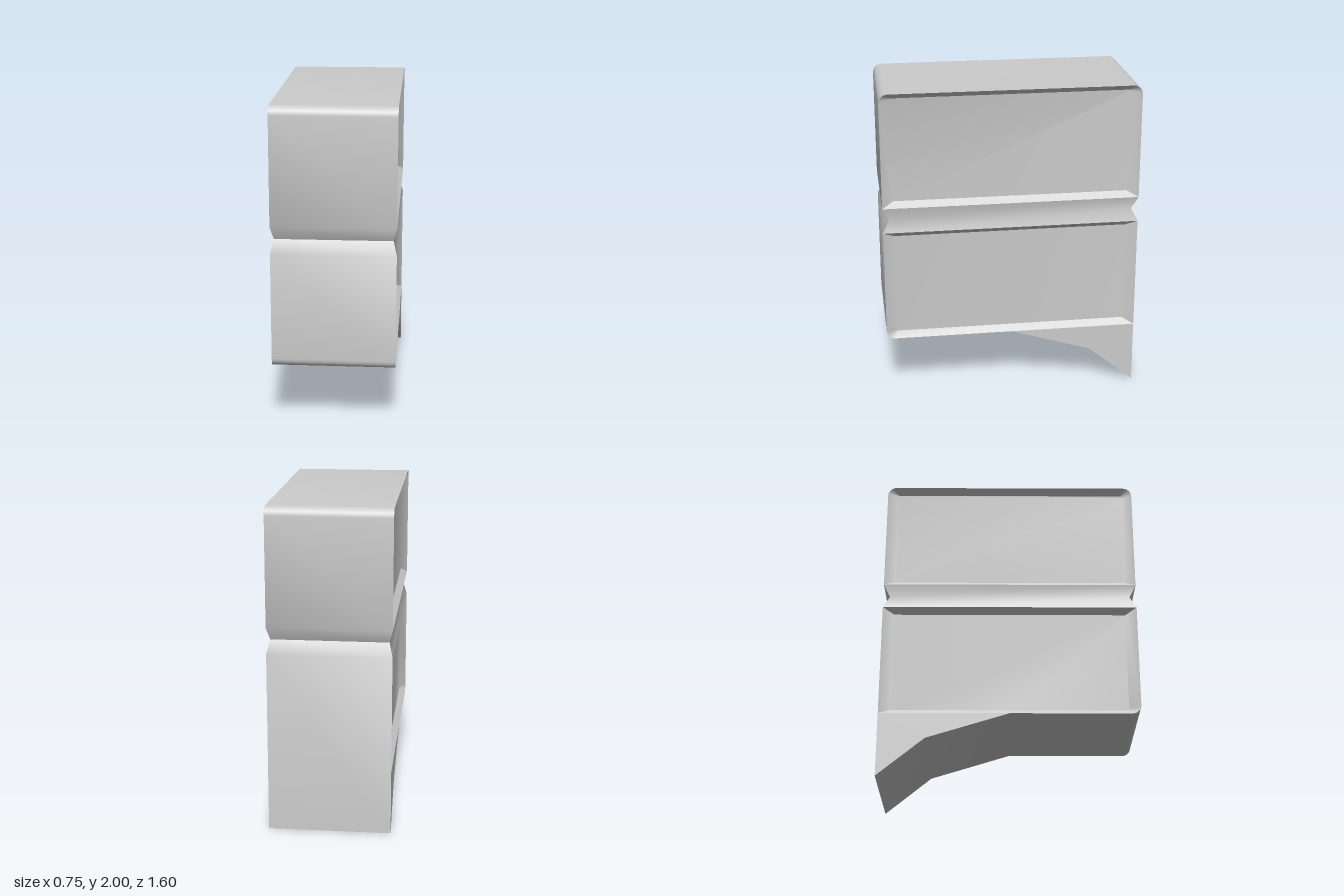
import * as THREE from 'three';
import { toCreasedNormals } from 'three/addons/utils/BufferGeometryUtils.js';

const W = 0.375, D = 0.8;          // half width, half depth
const VX = 0.355, VZ = 0.76;       // groove bottom
const TOP = 2, BASE = 0.4, G1 = 1.28, G0 = 1.12;
const R = 0.055, BEVEL_Z = 0.07, BEVEL_Y = 0.035, RECESS = 0.04;

const point = (z, y, x = W) => new THREE.Vector3(x, y, z);
const mirrored = (v) => new THREE.Vector3(-v.x, v.y, v.z);

// Rounded corner in the z-y plane; angles are measured from -z towards +y
function arc(z, y, from) {
  return Array.from({ length: 9 }, (_, i) => {
    const a = from + (i / 8) * Math.PI / 2;
    return point(z - R * Math.cos(a), y + R * Math.sin(a));
  });
}

// Mesh from polygons, each fanned from its first corner
function polygonMesh(name, polygons, material) {
  const positions = [];
  for (const p of polygons) {
    for (let i = 1; i < p.length - 1; i++) {
      const t = new THREE.Triangle(p[0], p[i], p[i + 1]);
      if (t.getArea() < 1e-8) continue;
      for (const v of [t.a, t.b, t.c]) positions.push(v.x, v.y, v.z);
    }
  }
  let geometry = new THREE.BufferGeometry();
  geometry.setAttribute('position', new THREE.Float32BufferAttribute(positions, 3));
  geometry.computeVertexNormals();
  geometry = toCreasedNormals(geometry, 0.6);
  const mesh = new THREE.Mesh(geometry, material);
  mesh.name = name;
  return mesh;
}

// Bevelled frame sloping inwards to a flat recessed rectangle
function recessedPanel(outline, y0, y1) {
  const inner = outline.map((v) => point(
    THREE.MathUtils.clamp(v.z, -D + BEVEL_Z, D - BEVEL_Z),
    THREE.MathUtils.clamp(v.y, y0 + BEVEL_Y, y1 - BEVEL_Y),
    W - RECESS));
  const polygons = outline.map((v, i) => {
    const j = (i + 1) % outline.length;
    return [v, outline[j], inner[j], inner[i]];
  });
  polygons.push(inner);
  return polygons;
}

export function createModel() {
  const group = new THREE.Group();
  const material = new THREE.MeshStandardMaterial({ color: 0xcccccc });

  const topBack = arc(-D + R, TOP - R, 0);
  const topFront = arc(D - R, TOP - R, Math.PI / 2);
  const bottomFront = arc(D - R, BASE + R, Math.PI);
  const tail = [point(0, BASE), point(-0.51, 0.24), point(-D, 0)];

  // Outer wall around the whole outline, including the groove and tail
  const outline = [
    ...bottomFront, ...tail,
    point(-D, G0), point(-VZ, 1.2, VX), point(-D, G1),
    ...topBack, ...topFront,
    point(D, G1), point(VZ, 1.2, VX), point(D, G0),
  ];
  const wall = outline.map((a, i) => {
    const b = outline[(i + 1) % outline.length];
    return [mirrored(a), mirrored(b), b, a];
  });
  group.add(polygonMesh('outerWall', wall, material));

  // Parts of the left side, repeated mirrored on the right
  const tailCorner = point(-D, BASE);
  const sideParts = {
    UpperPanel: recessedPanel(
      [point(D, G1), point(-D, G1), ...topBack, ...topFront], G1, TOP),
    LowerPanel: recessedPanel(
      [...bottomFront, tail[0], tailCorner, point(-D, G0), point(D, G0)], BASE, G0),
    Groove: [
      [point(VZ, 1.2, VX), point(-VZ, 1.2, VX), point(-D, G1), point(D, G1)],
      [point(D, G0), point(-D, G0), point(-VZ, 1.2, VX), point(VZ, 1.2, VX)],
    ],
    TailSide: [[tailCorner, ...tail]],
  };
  for (const [name, polygons] of Object.entries(sideParts)) {
    group.add(polygonMesh('left' + name, polygons, material));
    const flipped = polygons.map((p) => p.map(mirrored).reverse());
    // Keep the fan centre of the concave tail at its inner corner
    if (name === 'TailSide') flipped.forEach((p) => p.unshift(p.pop()));
    group.add(polygonMesh('right' + name, flipped, material));
  }
  return group;
}
